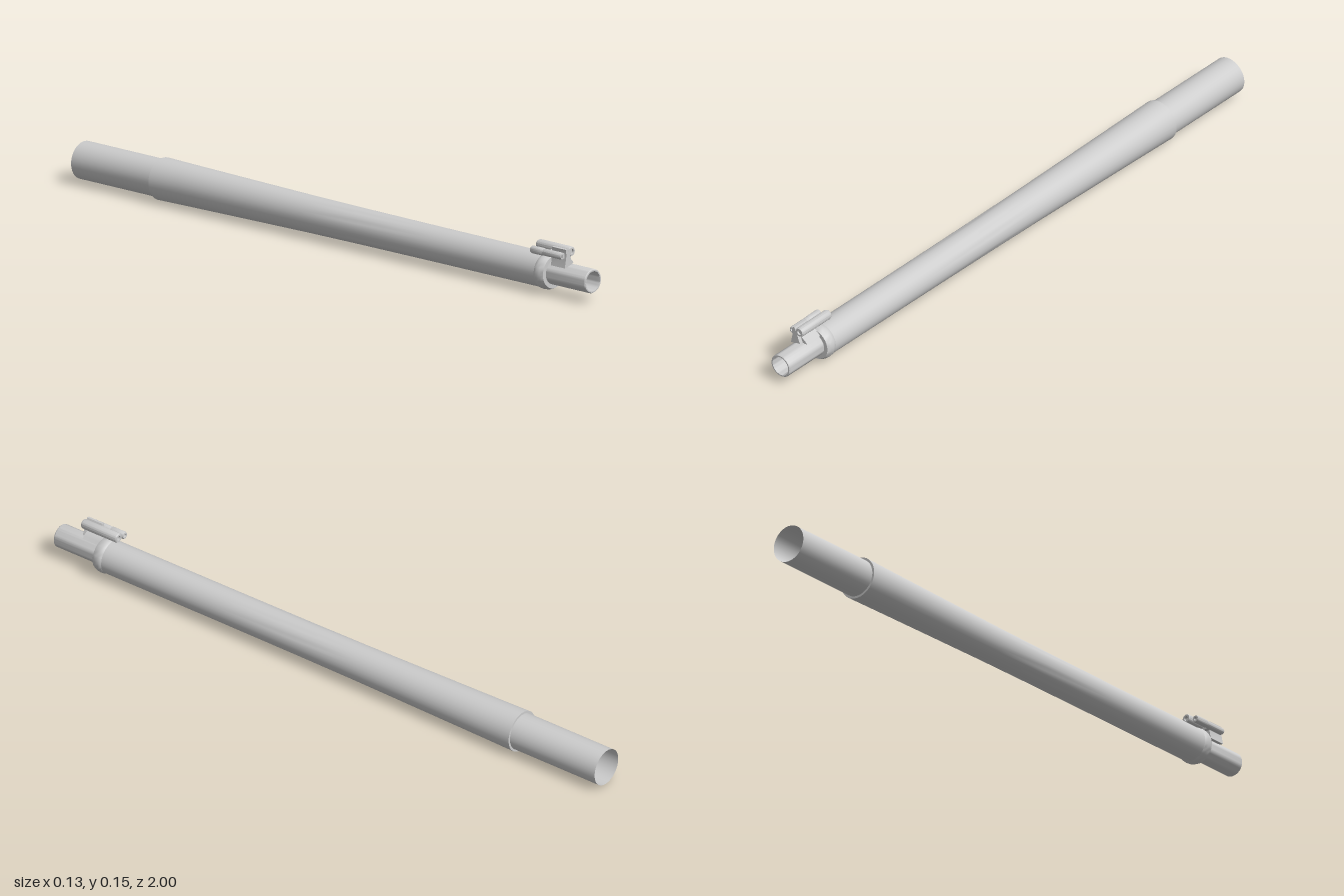
import * as THREE from 'three';
import { toCreasedNormals } from 'three/addons/utils/BufferGeometryUtils.js';

const AXIS_Y = 0.0645;

export function createModel() {
  const model = new THREE.Group();
  const grey = new THREE.MeshStandardMaterial({ color: 0xcccccc, side: THREE.DoubleSide });
  grey.name = 'light metal grey';

  const add = (name, geometry, x = 0, y = 0, z = 0) => {
    const mesh = new THREE.Mesh(toCreasedNormals(geometry, 0.6), grey);
    mesh.name = name;
    mesh.position.set(x, y, z);
    model.add(mesh);
  };

  // Turned part along z; profile is [radius, z], from back to front
  const turn = (name, profile, sides = 32, x = 0, y = AXIS_Y) => {
    const points = profile.map(([r, z]) => new THREE.Vector2(r, z));
    add(name, new THREE.LatheGeometry(points, sides).rotateX(Math.PI / 2), x, y);
  };

  // Flat outline in the front plane, extruded from z0 to z1
  const plate = (name, outline, z0, z1) => {
    const shape = new THREE.Shape(outline.map(([x, y]) => new THREE.Vector2(x, y)));
    add(name, new THREE.ExtrudeGeometry(shape, { depth: z1 - z0, bevelEnabled: false }), 0, 0, z0);
  };

  // Main tubes: open rear pipe, tapering sleeve, collar and hollow neck
  turn('rearPipe', [[0.0565, -1], [0.0565, -0.66]]);
  turn('taperedSleeve', [[0.0565, -0.69], [0.0635, -0.69], [0.0615, -0.58], [0.058, -0.35],
    [0.0545, -0.1], [0.053, 0.1], [0.052, 0.4], [0.0515, 0.82]]);
  turn('collar', [[0.0515, 0.813], [0.0535, 0.816], [0.0545, 0.825], [0.0535, 0.836],
    [0.0485, 0.847], [0.036, 0.847]]);
  turn('neck', [[0.036, 0.84], [0.036, 0.997], [0.034, 1], [0.03, 1], [0.029, 0.99],
    [0.029, 0.9], [0, 0.87]]);

  // Upright bracket on the neck
  plate('bracket', [[-0.031, 0.094], [0.004, 0.099], [-0.003, 0.116], [-0.012, 0.138],
    [-0.018, 0.15], [-0.026, 0.149], [-0.024, 0.13]], 0.862, 0.917);
  plate('foot', [[-0.002, 0.098], [0.02, 0.1], [0.014, 0.108], [-0.002, 0.117]], 0.845, 0.905);
  plate('link', [[-0.034, 0.124], [-0.016, 0.12], [0.002, 0.13], [0.002, 0.147],
    [-0.014, 0.137], [-0.034, 0.138]], 0.85, 0.91);

  // Hollow barrels carried by the bracket
  const barrel = (name, x, y, r, z0, z1) => turn(name, [
    [0, z0 + 0.012], [r * 0.5, z0 + 0.01], [r * 0.5, z0], [r * 0.85, z0], [r, z0 + 0.004],
    [r, z1 - 0.004], [r * 0.85, z1], [r * 0.5, z1], [r * 0.5, z1 - 0.006], [0, z1 - 0.006],
  ], 16, x, y);
  barrel('upperBarrel', 0, 0.139, 0.0148, 0.787, 0.917);
  barrel('sideBarrel', -0.033, 0.13, 0.0115, 0.79, 0.84);
  barrel('sidePin', -0.033, 0.13, 0.0105, 0.836, 0.91);

  return model;
}
